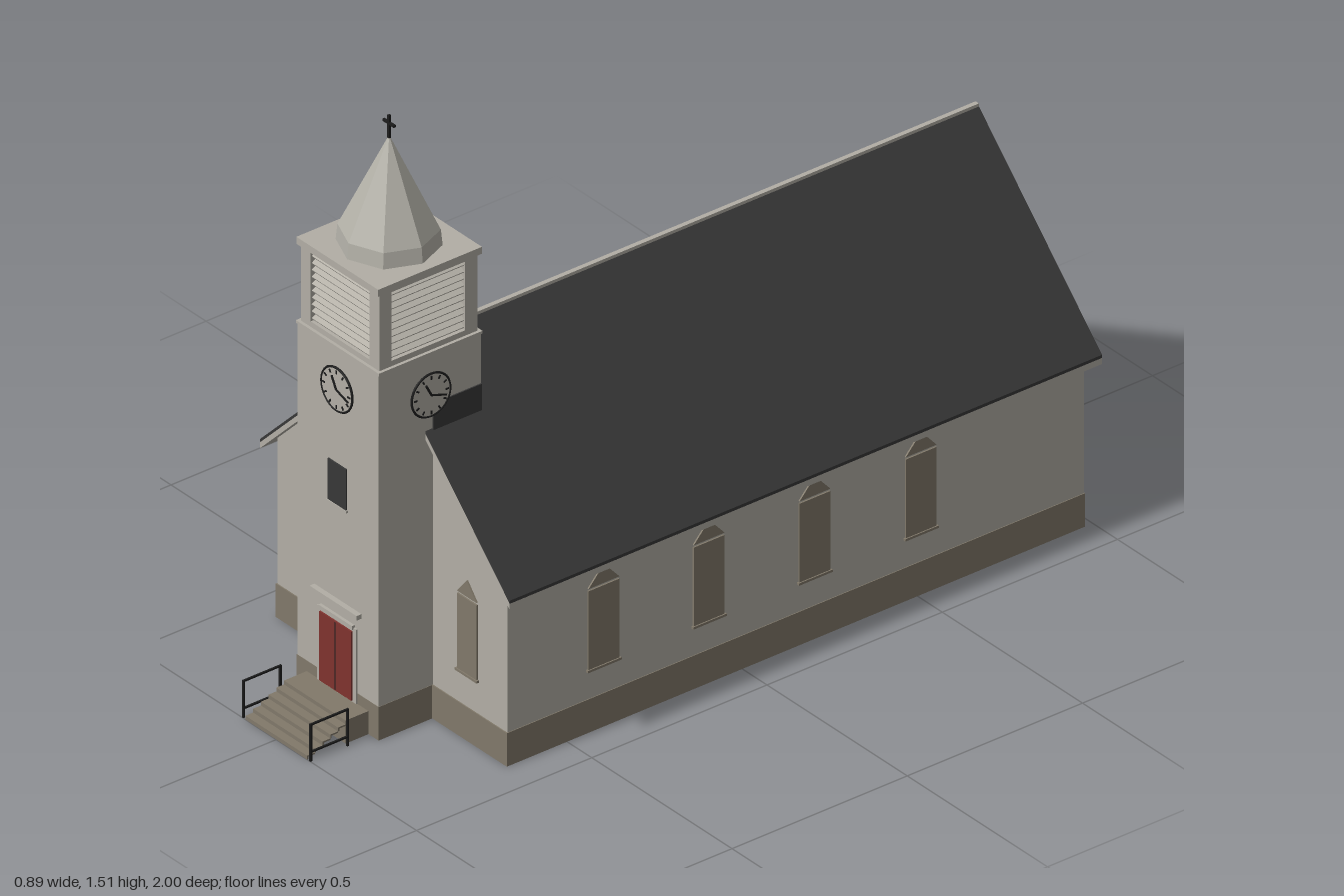
import * as THREE from 'three';

const mat = (name, color) => {
  const m = new THREE.MeshStandardMaterial({ color });
  m.name = name;
  return m;
};

export function createModel() {
  const wall = mat('pale wall', 0xb2aea5);
  const stone = mat('taupe stone', 0x81796a);
  const roofing = mat('charcoal roofing', 0x383838);
  const black = mat('black iron', 0x1c1c1c);
  const red = mat('red door', 0x80332e);
  const wood = mat('dark floor wood', 0x3a281a);
  const spireMat = mat('spire metal', 0xb4b2a9);
  spireMat.flatShading = true;

  const model = new THREE.Group();
  model.name = 'church';

  const add = (parent, name, geo, m, x = 0, y = 0, z = 0) => {
    const mesh = new THREE.Mesh(geo, m);
    mesh.name = name;
    mesh.position.set(x, y, z);
    parent.add(mesh);
    return mesh;
  };
  // box given by its low and high corners
  const box = (parent, name, m, x0, x1, y0, y1, z0, z1) =>
    add(parent, name, new THREE.BoxGeometry(x1 - x0, y1 - y0, z1 - z0), m,
      (x0 + x1) / 2, (y0 + y1) / 2, (z0 + z1) / 2);
  const prism = (points, depth) => new THREE.ExtrudeGeometry(
    new THREE.Shape(points.map(p => new THREE.Vector2(...p))), { depth, bevelEnabled: false });
  // group whose local +z is a wall's outward direction
  const face = (name, x, y, z, turn = 0) => {
    const g = new THREE.Group();
    g.name = name;
    g.position.set(x, y, z);
    g.rotation.y = turn;
    model.add(g);
    return g;
  };
  const Q = Math.PI / 2;

  // Foundations: open rings with a recessed floor
  const foundation = (name, hw, z0, z1) => {
    const t = 0.02, h = 0.087;
    for (const s of [-1, 1]) {
      const a = s * hw, b = s * (hw - t);
      box(model, name + 'Side', stone, Math.min(a, b), Math.max(a, b), 0, h, z0, z1);
    }
    box(model, name + 'Back', stone, -hw + t, hw - t, 0, h, z0, z0 + t);
    box(model, name + 'Front', stone, -hw + t, hw - t, 0, h, z1 - t, z1);
    box(model, name + 'Floor', wood, -hw + t, hw - t, 0.05, 0.086, z0 + t, z1 - t);
  };
  foundation('naveFoundation', 0.412, -0.978, 0.672);
  foundation('towerFoundation', 0.146, 0.672, 0.825);

  // Nave with gable ends
  add(model, 'nave', prism([[-0.41, 0.087], [0.41, 0.087], [0.41, 0.467], [0, 0.88], [-0.41, 0.467]], 1.645),
    wall, 0, 0, -0.976);

  // Roof: pale boarding below, dark covering on top
  const chevron = (top, thick) => {
    const e = top - 0.445;
    return prism([[0, top], [-0.445, e], [-0.445, e - thick], [0, top - thick], [0.445, e - thick], [0.445, e]], 1.69);
  };
  add(model, 'roofBoarding', chevron(0.892, 0.016), wall, 0, 0, -1);
  add(model, 'roofCovering', chevron(0.9, 0.0085), roofing, 0, 0, -1);
  box(model, 'ridgeCap', wall, -0.006, 0.006, 0.893, 0.902, -1, 0.54);

  // Pointed windows
  const windowAt = (x, z, turn, w, y0, y1, peak) => {
    const g = face('window', x, 0, z, turn);
    const h = w / 2;
    add(g, 'windowPane', prism([[-h, y0], [h, y0], [h, y1], [-h, y1]], 0.004), stone);
    add(g, 'windowPeak', prism([[-h, y1 + 0.006], [h, y1 + 0.006], [0, peak]], 0.004), stone);
    box(g, 'windowSill', stone, -h - 0.004, h + 0.004, y0 - 0.006, y0, 0, 0.007);
  };
  for (const s of [-1, 1]) {
    for (const z of [0.396, 0.096, -0.206, -0.509]) windowAt(s * 0.41, z, s * Q, 0.088, 0.165, 0.37, 0.425);
    windowAt(s * 0.27, 0.669, 0, 0.07, 0.175, 0.37, 0.418);
  }
  windowAt(0, -0.976, Math.PI, 0.088, 0.165, 0.37, 0.425);

  // Tower shaft
  const TZ = 0.678;
  box(model, 'towerShaft', wall, -0.145, 0.145, 0.087, 0.95, 0.532, 0.824);
  box(model, 'towerLedge', wall, -0.148, 0.148, 0.95, 0.957, TZ - 0.148, TZ + 0.148);
  box(model, 'towerWindow', black, -0.033, 0.033, 0.547, 0.653, 0.824, 0.828).material = roofing;
  box(model, 'towerWindowSill', wall, -0.036, 0.036, 0.541, 0.547, 0.824, 0.83);
  for (const s of [-1, 1])
    box(model, 'roofFlashing', roofing, s * 0.1465 - 0.002, s * 0.1465 + 0.002, 0.74, 0.82, 0.532, 0.67);

  // Clocks on three sides
  for (const [x, z, turn] of [[0, 0.824, 0], [0.146, TZ, Q], [-0.146, TZ, -Q]]) {
    const g = face('clock', x, 0.847, z, turn);
    box(g, 'clockBacking', wall, -0.035, 0.035, -0.035, 0.035, 0, 0.003);
    const dial = add(g, 'clockDial', new THREE.CylinderGeometry(0.055, 0.055, 0.004, 32), wall, 0, 0, 0.002);
    dial.rotation.x = Q;
    add(g, 'clockRim', new THREE.TorusGeometry(0.055, 0.003, 6, 40), black, 0, 0, 0.003);
    for (let i = 0; i < 12; i++) {
      const a = i * Math.PI / 6;
      add(g, 'hourMark', new THREE.BoxGeometry(0.004, 0.009, 0.003), black,
        Math.sin(a) * 0.045, Math.cos(a) * 0.045, 0.0045).rotation.z = -a;
    }
    for (const [hx, hy, w] of [[-0.016, 0.03, 0.005], [0.043, -0.014, 0.004]])
      add(g, 'clockHand', new THREE.BoxGeometry(w, Math.hypot(hx, hy), 0.003), black,
        hx / 2, hy / 2, 0.0055).rotation.z = Math.atan2(-hx, hy);
  }

  // Belfry with louvres on all four sides
  box(model, 'belfryCore', black, -0.118, 0.118, 0.957, 1.155, TZ - 0.118, TZ + 0.118);
  for (const y of [0.957, 1.15])
    box(model, 'belfryBand', wall, -0.14, 0.14, y, y + (y > 1 ? 0.008 : 0.014), TZ - 0.14, TZ + 0.14);
  for (const sx of [-1, 1]) for (const sz of [-1, 1])
    add(model, 'belfryCorner', new THREE.BoxGeometry(0.035, 0.2, 0.035), wall, sx * 0.1225, 1.057, TZ + sz * 0.1225);
  for (let k = 0; k < 4; k++) {
    const g = face('louvres', 0, 0, TZ, k * Q);
    for (let i = 0; i < 10; i++)
      add(g, 'louvreSlat', new THREE.BoxGeometry(0.21, 0.004, 0.018), wall,
        0, 0.981 + i * 0.018, 0.128).rotation.x = 0.5;
  }
  box(model, 'belfryCornice', wall, -0.146, 0.146, 1.157, 1.175, TZ - 0.148, TZ + 0.148);

  // Eight-sided spire and cross
  add(model, 'spireBase', new THREE.CylinderGeometry(0.116, 0.12, 0.04, 8), spireMat, 0, 1.195, TZ);
  add(model, 'spire', new THREE.CylinderGeometry(0.002, 0.116, 0.235, 8), spireMat, 0, 1.3325, TZ);
  box(model, 'crossUpright', black, -0.003, 0.003, 1.445, 1.506, TZ - 0.003, TZ + 0.003);
  box(model, 'crossArm', black, -0.02, 0.02, 1.482, 1.488, TZ - 0.003, TZ + 0.003);

  // Door with surround and hood
  box(model, 'doorSurround', wall, -0.07, 0.07, 0.06, 0.254, 0.82, 0.828);
  box(model, 'door', red, -0.057, 0.057, 0.064, 0.244, 0.826, 0.832);
  box(model, 'doorSeam', black, -0.001, 0.001, 0.066, 0.242, 0.83, 0.8325);
  box(model, 'doorLintel', wall, -0.06, 0.06, 0.25, 0.26, 0.824, 0.832);
  box(model, 'doorHood', wall, -0.084, 0.084, 0.288, 0.3, 0.824, 0.838);

  // Landing and open steps
  box(model, 'landing', stone, -0.11, 0.11, 0, 0.06, 0.825, 0.89);
  const n = 5, run = 0.11 / n;
  for (let i = 0; i < n; i++) {
    const y = 0.01 + i * 0.01, z = 1 - i * run;
    box(model, 'stepTread', stone, -0.11, 0.11, y - 0.004, y, z - run, z);
    box(model, 'stepRiser', stone, -0.11, 0.11, y - 0.01, y, z - 0.004, z);
  }

  // Handrails
  for (const s of [-1, 1]) {
    const x = s * 0.12, r = 0.0025;
    box(model, 'railPost', black, x - r, x + r, 0, 0.097, 0.995, 1);
    box(model, 'railPost', black, x - r, x + r, 0, 0.097, 0.89, 0.895);
    box(model, 'railTop', black, x - r, x + r, 0.093, 0.097, 0.89, 1);
    box(model, 'railBottom', black, x - r, x + r, 0.022, 0.026, 0.89, 1);
  }
  return model;
}
